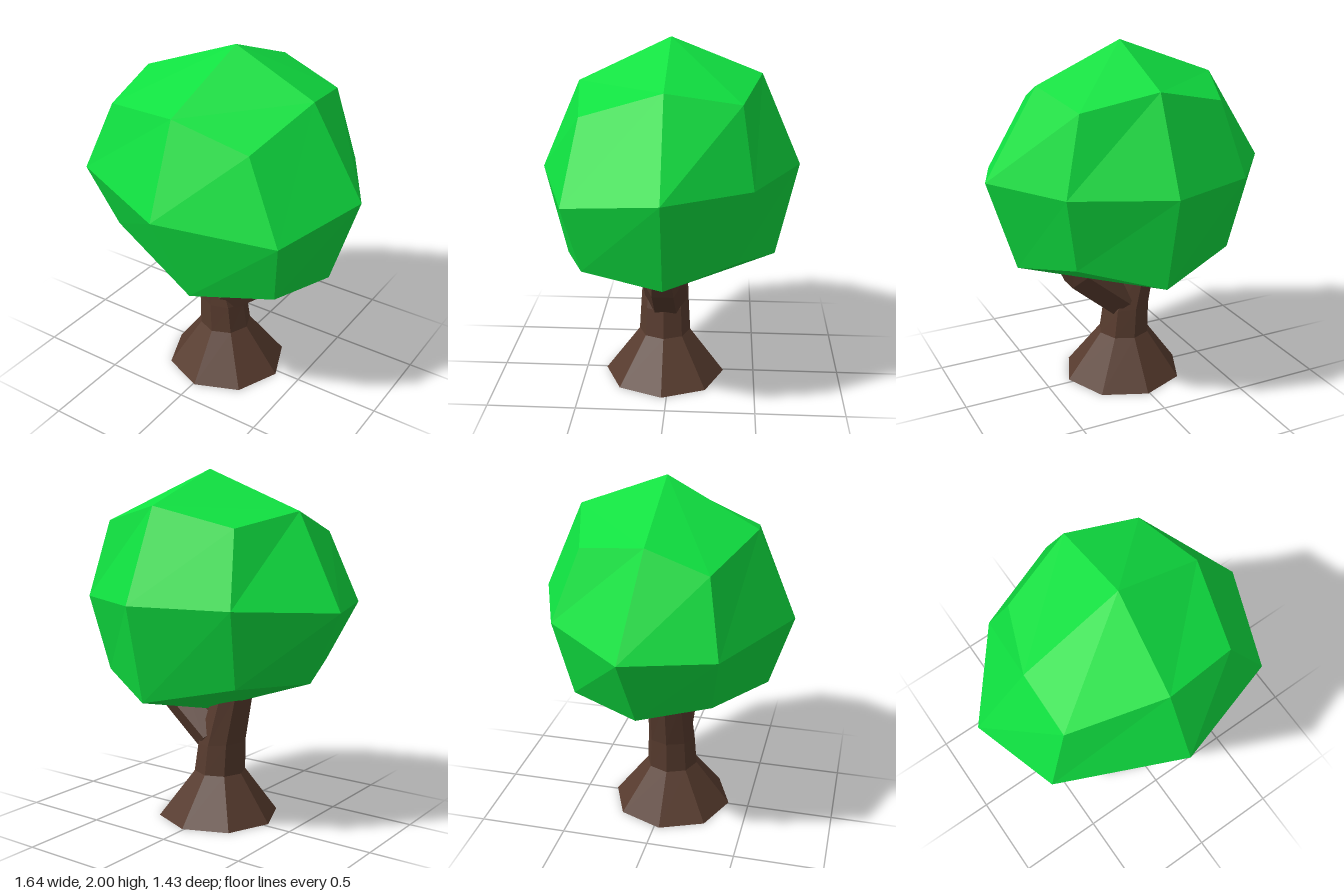
import * as THREE from 'three';

// Closed faceted tube through rings [x, y, z, radius, tilt in the x-y plane]
function loft(rings, sides, offset = 0) {
  const pos = [], index = [];
  for (const [x, y, z, r, tilt] of rings) {
    for (let k = 0; k < sides; k++) {
      const t = offset + (k / sides) * Math.PI * 2;
      const u = r * Math.cos(t);
      pos.push(x + u * Math.cos(tilt), y + u * Math.sin(tilt), z + r * Math.sin(t));
    }
  }
  for (let i = 0; i < rings.length - 1; i++) {
    for (let k = 0; k < sides; k++) {
      const n = (k + 1) % sides;
      const a = i * sides + k, b = i * sides + n, c = a + sides, d = b + sides;
      index.push(a, c, b, b, c, d);
    }
  }
  const last = (rings.length - 1) * sides;
  for (let k = 1; k < sides - 1; k++) {
    index.push(0, k, k + 1, last, last + k + 1, last + k);
  }
  const geo = new THREE.BufferGeometry();
  geo.setAttribute('position', new THREE.Float32BufferAttribute(pos, 3));
  geo.setIndex(index);
  return geo;
}

// Box of 2 x 2 x 2 segments whose 26 points move to an uneven ball
function crownGeometry() {
  // Layers from bottom to top; in each, rows run back to front, points left to right
  const layers = [
    [
      [[-0.42, 0.88, -0.42], [0.05, 0.78, -0.6], [0.47, 0.88, -0.385]],
      [[-0.63, 0.87, -0.02], [0.05, 0.63, 0], [0.66, 0.79, 0]],
      [[-0.51, 0.93, 0.36], [0.13, 0.79, 0.57], [0.57, 0.855, 0.43]],
    ],
    [
      [[-0.46, 1.3, -0.52], [0.05, 1.31, -0.72], [0.55, 1.3, -0.46]],
      [[-0.825, 1.27, -0.06], null, [0.82, 1.3, 0]],
      [[-0.675, 1.27, 0.42], [0, 1.26, 0.715], [0.635, 1.22, 0.52]],
    ],
    [
      [[-0.38, 1.7, -0.375], [0.05, 1.81, -0.5], [0.445, 1.72, -0.395]],
      [[-0.53, 1.78, 0.01], [0.04, 2, -0.01], [0.52, 1.79, 0]],
      [[-0.525, 1.66, 0.34], [-0.01, 1.75, 0.5], [0.415, 1.64, 0.445]],
    ],
  ];
  const geo = new THREE.BoxGeometry(2, 2, 2, 2, 2, 2);
  const p = geo.attributes.position;
  for (let i = 0; i < p.count; i++) {
    const [x, y, z] = [p.getX(i), p.getY(i), p.getZ(i)].map((v) => Math.round(v) + 1);
    p.setXYZ(i, ...layers[y][z][x]);
  }
  geo.computeVertexNormals();
  return geo;
}

export function createModel() {
  const tree = new THREE.Group();
  tree.name = 'tree';
  const bark = new THREE.MeshStandardMaterial({ color: 0x573b2e, flatShading: true });
  const leaves = new THREE.MeshStandardMaterial({ color: 0x0fe040, flatShading: true });

  const add = (name, geo, material) => {
    geo.computeVertexNormals();
    const mesh = new THREE.Mesh(geo, material);
    mesh.name = name;
    tree.add(mesh);
  };

  // Trunk: flared foot, narrow waist, leaning to one side at the top
  add('trunk', loft([
    [0.01, 0, 0.03, 0.35, 0],
    [0, 0.265, 0.03, 0.15, 0],
    [-0.015, 0.44, 0.03, 0.14, -0.1],
    [-0.085, 0.72, 0.03, 0.125, -0.25],
    [-0.1, 0.82, 0.03, 0.11, -0.1],
  ], 8), bark);

  // Side branch growing from the trunk up into the crown
  add('branch', loft([
    [0.02, 0.48, 0.02, 0.125, -0.75],
    [0.28, 0.695, 0.02, 0.12, -0.8],
    [0.35, 0.82, 0.02, 0.1, -0.45],
  ], 6, Math.PI / 6), bark);

  // Leafy crown
  add('crown', crownGeometry(), leaves);
  return tree;
}
